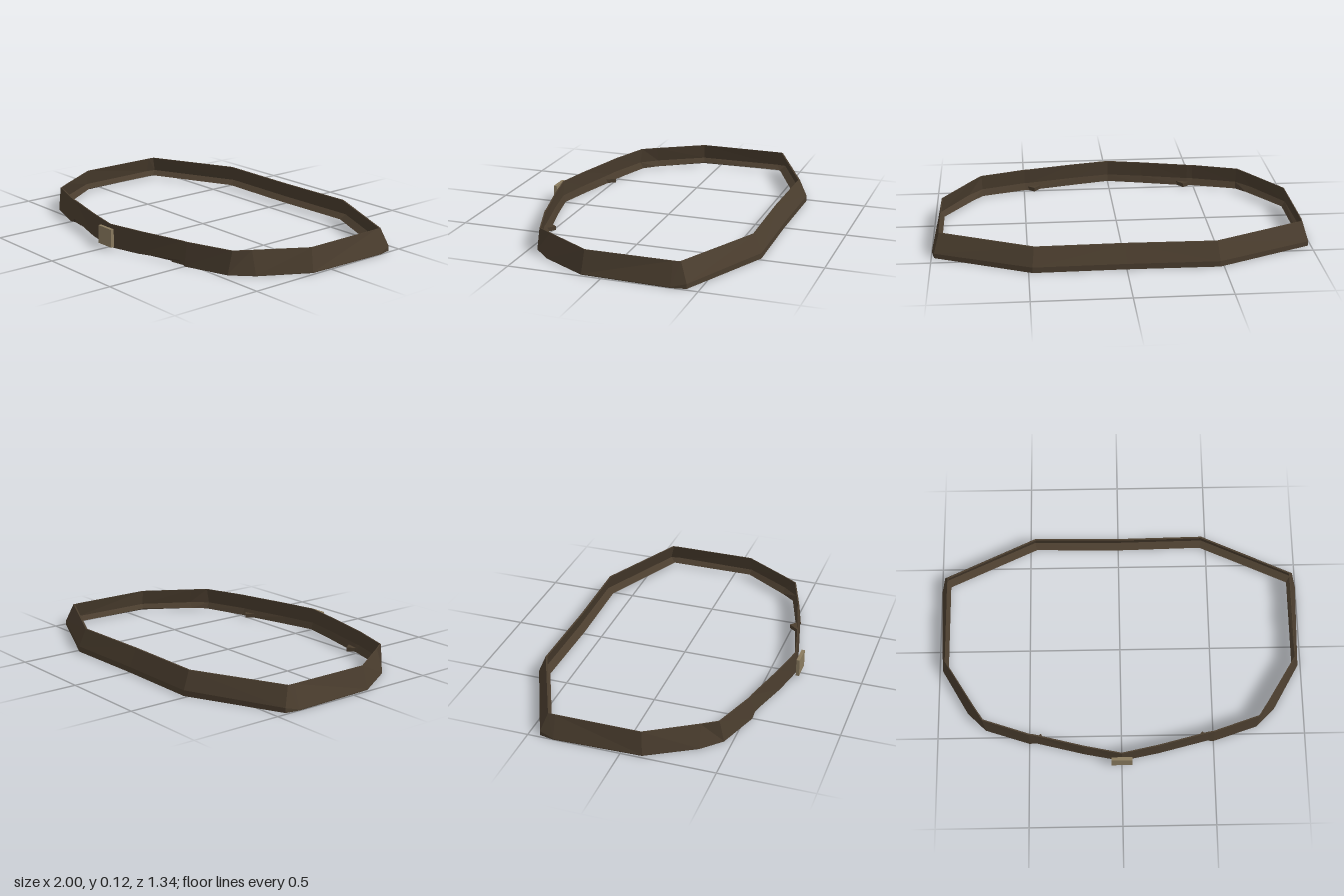
import * as THREE from 'three';

const leather = new THREE.MeshStandardMaterial({ color: 0x4a3d2e, flatShading: true });
leather.name = 'dark leather';
const brass = new THREE.MeshStandardMaterial({ color: 0x8a7b5f });
brass.name = 'dull brass';

const TOP = 0.13;

// Half of the band, front centre to back centre:
// outer foot x,z | outer rim x,z | inner foot x,z | foot y, bevel y, inner foot y
const HALF = [
  [0, 0.64, 0, 0.635, 0, 0.622, 0.005, 0.008, 0.008],
  [0.2, 0.602, 0.2, 0.594, 0.2, 0.58, 0.01, 0.012, 0.006],
  [0.465, 0.541, 0.47, 0.527, 0.46, 0.513, 0.03, 0.032, 0.006],
  [0.5, 0.537, 0.5, 0.522, 0.49, 0.509, 0.005, 0.008, 0.008],
  [0.74, 0.458, 0.75, 0.437, 0.74, 0.426, 0.005, 0.008, 0.01],
  [0.84, 0.36, 0.803, 0.355, 0.792, 0.35, 0.005, 0.008, 0.015],
  [0.985, 0.11, 0.96, 0.1, 0.95, 0.097, 0.005, 0.01, 0.02],
  [1.0, -0.36, 0.96, -0.36, 0.95, -0.36, 0.005, 0.01, 0.02],
  [0.985, -0.438, 0.957, -0.4, 0.95, -0.386, 0.005, 0.03, 0.02],
  [0.48, -0.668, 0.47, -0.628, 0.465, -0.609, 0.005, 0.035, 0.02],
  [0, -0.662, 0, -0.621, 0, -0.6, 0.005, 0.035, 0.02],
];

// Cross-section: sloping thin wall with a lip along its inner foot
function section([fx, fz, rx, rz, ix, iz, y0, y1, y2], side) {
  const mid = (a, b) => (a + b) / 2;
  const tx = mid(rx, ix), tz = mid(rz, iz);
  return [
    [fx, y0, fz], [fx, y1, fz], [rx, TOP, rz], [tx, TOP, tz],
    [mid(tx, fx), 0.045, mid(tz, fz)], [ix, y2, iz],
  ].map(([x, y, z]) => [x * side, y, z]);
}

function bandGeometry(side) {
  const rings = HALF.map((s) => section(s, side));
  const pos = [];
  const tri = (a, b, c) => pos.push(...a, ...(side > 0 ? b : c), ...(side > 0 ? c : b));
  for (let i = 0; i < rings.length - 1; i++) {
    const a = rings[i], b = rings[i + 1];
    for (let j = 0; j < a.length; j++) {
      const k = (j + 1) % a.length;
      tri(a[j], b[j], b[k]);
      tri(a[j], b[k], a[k]);
    }
  }
  const g = new THREE.BufferGeometry();
  g.setAttribute('position', new THREE.Float32BufferAttribute(pos, 3));
  g.computeVertexNormals();
  return g;
}

// Small low spur at the inner foot of the front joint
function spurGeometry(side) {
  const shape = new THREE.Shape([[0.485, -0.525], [0.44, -0.487], [0.4, -0.54]]
    .map(([x, y]) => new THREE.Vector2(x * side, y)));
  const g = new THREE.ExtrudeGeometry(shape, { depth: 0.022, bevelEnabled: false });
  g.rotateX(-Math.PI / 2);
  g.translate(0, 0.005, 0);
  return g;
}

export function createModel() {
  const model = new THREE.Group();
  model.name = 'belt';
  const add = (name, geometry, material) => {
    const mesh = new THREE.Mesh(geometry, material);
    mesh.name = name;
    model.add(mesh);
    return mesh;
  };

  for (const [name, side] of [['left', 1], ['right', -1]]) {
    add(`${name}Band`, bandGeometry(side), leather);
    add(`${name}Spur`, spurGeometry(side), leather);
  }

  // Buckle plate floating just ahead of the band
  add('buckle', new THREE.BoxGeometry(0.112, 0.098, 0.018), brass).position.set(0, 0.068, 0.659);
  return model;
}
